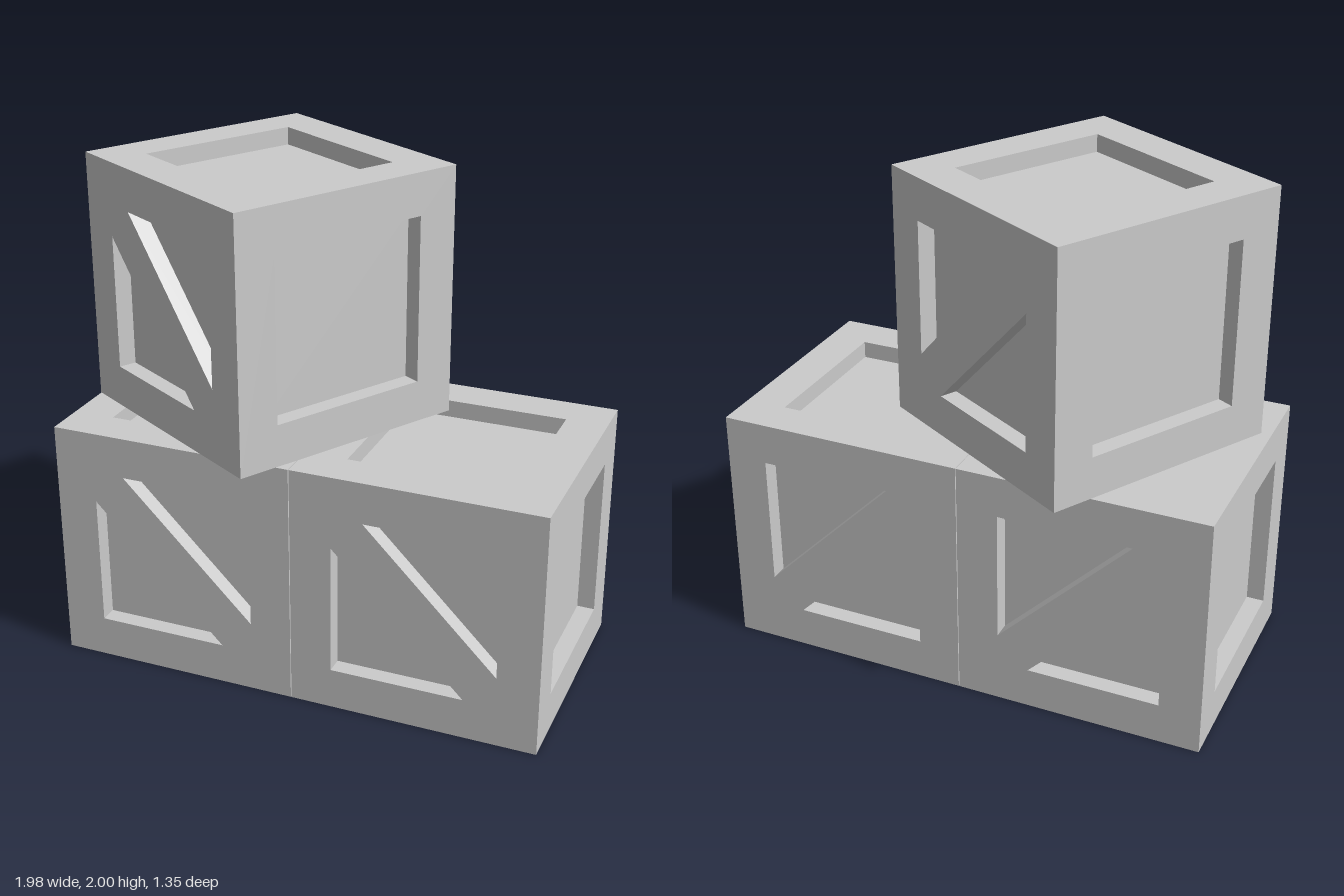
import * as THREE from 'three';
import { mergeGeometries } from 'three/addons/utils/BufferGeometryUtils.js';

const SIZE = 0.987;   // crate edge length
const HALF = SIZE / 2;
const INSET = 0.328;  // half width of the recessed area
const LEG = 0.53;     // short sides of the triangular recesses
const DEPTH = 0.07;   // recess depth

const material = new THREE.MeshStandardMaterial({ color: 0xcccccc, flatShading: true });

// Recess outlines, counter-clockwise seen from outside
const square = [[[-INSET, -INSET], [INSET, -INSET], [INSET, INSET], [-INSET, INSET]]];
const braced = [
  [[-INSET, -INSET], [-INSET + LEG, -INSET], [-INSET, -INSET + LEG]],
  [[INSET, INSET], [INSET - LEG, INSET], [INSET, INSET - LEG]],
];
// The brace on the back leans the other way seen from outside
const bracedBack = braced.map((o) => o.map(([x, y]) => [-x, y]).reverse());

// Inner walls of one recess
function recessWalls(outline) {
  const pos = [];
  outline.forEach(([ax, ay], i) => {
    const [bx, by] = outline[(i + 1) % outline.length];
    pos.push(ax, ay, 0, bx, by, 0, bx, by, -DEPTH);
    pos.push(ax, ay, 0, bx, by, -DEPTH, ax, ay, -DEPTH);
  });
  const g = new THREE.BufferGeometry();
  g.setAttribute('position', new THREE.Float32BufferAttribute(pos, 3));
  g.computeVertexNormals();
  return g;
}

// One crate side facing +z: flat frame with openings, plus their walls
function frameGeometry(outlines) {
  const shape = new THREE.Shape([[-1, -1], [1, -1], [1, 1], [-1, 1]]
    .map(([x, y]) => new THREE.Vector2(x * HALF, y * HALF)));
  shape.holes = outlines.map((o) => new THREE.Path(o.map(([x, y]) => new THREE.Vector2(x, y))));
  const face = new THREE.ShapeGeometry(shape).toNonIndexed();
  face.deleteAttribute('uv');
  return mergeGeometries([face, ...outlines.map(recessWalls)]).translate(0, 0, HALF);
}

const sides = [
  ['frontFrame', braced, 0, 0],
  ['backFrame', bracedBack, 0, Math.PI],
  ['leftFrame', square, 0, Math.PI / 2],
  ['rightFrame', square, 0, -Math.PI / 2],
  ['topFrame', square, -Math.PI / 2, 0],
  ['bottomFrame', square, Math.PI / 2, 0],
].map(([name, outlines, rx, ry]) => ({
  name,
  geometry: frameGeometry(outlines).rotateX(rx).rotateY(ry),
}));

// Recessed panels are the faces of an inner box
const innerBox = new THREE.BoxGeometry(SIZE - 2 * DEPTH, SIZE - 2 * DEPTH, SIZE - 2 * DEPTH);

function createCrate(name, x, bottom, angle) {
  const crate = new THREE.Group();
  crate.name = name;
  const panels = new THREE.Mesh(innerBox, material);
  panels.name = 'recessedPanels';
  crate.add(panels);
  for (const side of sides) {
    const frame = new THREE.Mesh(side.geometry, material);
    frame.name = side.name;
    crate.add(frame);
  }
  crate.position.set(x, bottom + HALF, 0);
  crate.rotation.y = angle;
  return crate;
}

export function createModel() {
  const model = new THREE.Group();
  model.name = 'crateStack';
  model.add(
    createCrate('lowerRightCrate', -0.495, 0, 0),
    createCrate('lowerLeftCrate', 0.495, 0, 0),
    createCrate('upperCrate', -0.285, 2 - SIZE, -Math.PI / 6),
  );
  return model;
}
